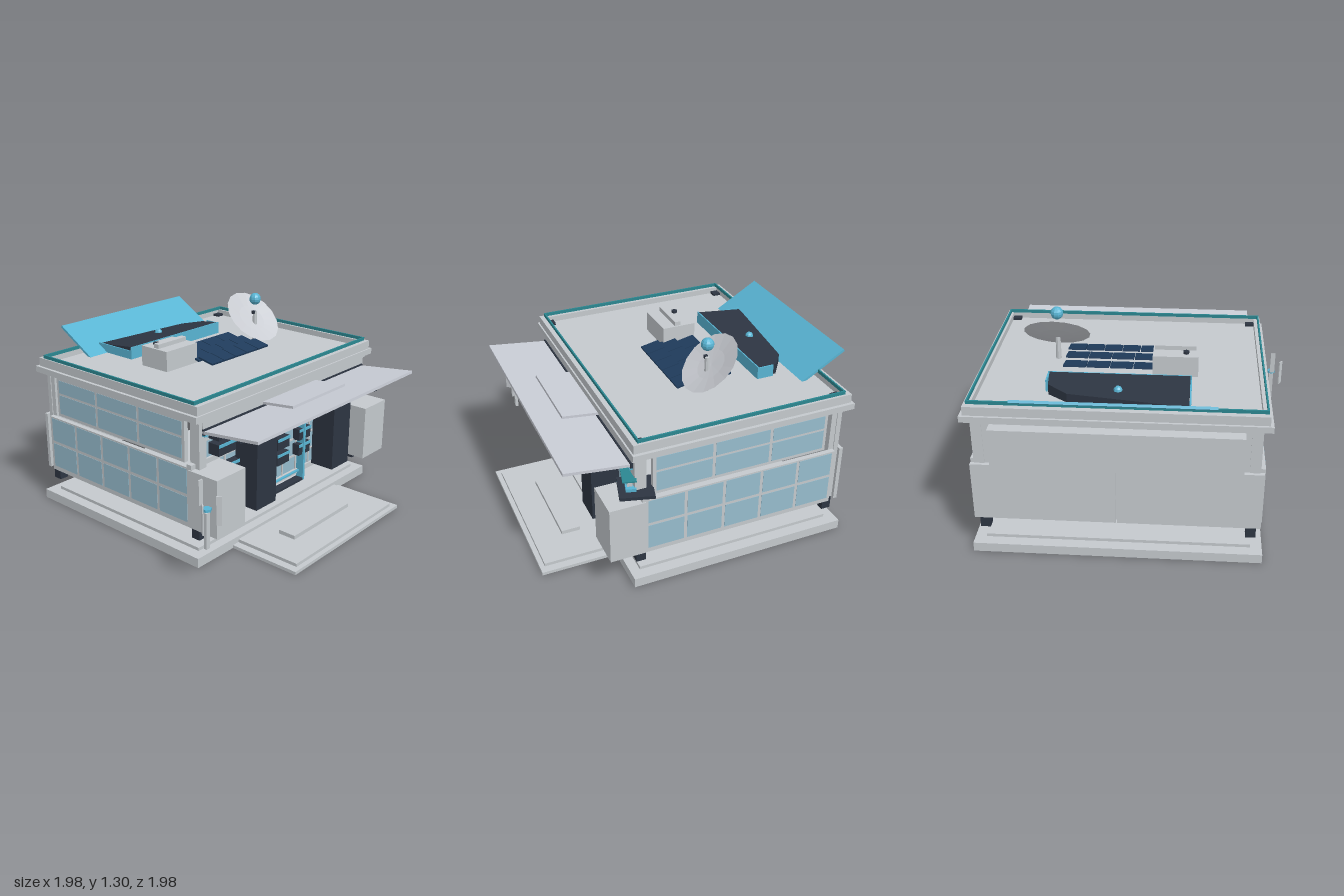
import * as THREE from 'three';

export function createModel() {
  const root = new THREE.Group();
  const mat = (name, color, side = THREE.FrontSide) => {
    const m = new THREE.MeshStandardMaterial({ color, side, flatShading: true });
    m.name = name;
    return m;
  };
  const grey = mat('light grey', 0xc4c9cd);
  const pale = mat('pale canopy grey', 0xc8ccd5);
  const dishGrey = mat('dish grey', 0xc9ccd2, THREE.DoubleSide);
  const glass = mat('glass blue', 0x96bccd);
  const blue = mat('accent blue', 0x58b4d3);
  const teal = mat('teal', 0x2b8791);
  const dark = mat('dark slate', 0x2d3542);
  const navy = mat('navy', 0x1f3b5b);

  const CX = 0.07; // centre line of the building
  const add = (name, geo, m, parent = root) => {
    const mesh = new THREE.Mesh(geo, m);
    mesh.name = name;
    parent.add(mesh);
    return mesh;
  };
  const box = (name, m, x0, x1, y0, y1, z0, z1, parent = root) => {
    const mesh = add(name, new THREE.BoxGeometry(x1 - x0, y1 - y0, z1 - z0), m, parent);
    mesh.position.set((x0 + x1) / 2, (y0 + y1) / 2, (z0 + z1) / 2);
    return mesh;
  };
  // Rectangular frame lying flat, t wide
  const ring = (name, m, x0, x1, y0, y1, z0, z1, t) => {
    const rect = (C, a, b, c, d) => {
      const s = new C();
      s.moveTo(a, c); s.lineTo(b, c); s.lineTo(b, d); s.lineTo(a, d); s.closePath();
      return s;
    };
    const s = rect(THREE.Shape, x0, x1, -z1, -z0);
    s.holes.push(rect(THREE.Path, x0 + t, x1 - t, -z1 + t, -z0 - t));
    const g = new THREE.ExtrudeGeometry(s, { depth: y1 - y0, bevelEnabled: false });
    g.rotateX(-Math.PI / 2).translate(0, y0, 0);
    return add(name, g, m);
  };

  // Plinth and entrance steps
  box('plinth', grey, -0.8, 0.94, 0, 0.06, -0.88, 0.52);
  box('plinthTop', grey, -0.73, 0.87, 0.06, 0.08, -0.81, 0.46);
  box('lowerStep', grey, -0.49, 0.63, 0, 0.02, 0.52, 0.99);
  box('middleStep', grey, -0.44, 0.58, 0.02, 0.04, 0.52, 0.96);
  box('upperStep', grey, -0.22, 0.36, 0.04, 0.065, 0.66, 0.78);

  // Corner feet, columns and roof caps
  for (const x of [CX - 0.795, CX + 0.795]) for (const z of [0.46, -0.8]) {
    box('foot', dark, x - 0.03, x + 0.03, 0.15, 0.24, z - 0.03, z + 0.03);
    box('column', grey, x - 0.03, x + 0.03, 0.24, 0.9, z - 0.035, z + 0.035);
    box('columnCap', dark, x - 0.03, x + 0.03, 0.95, 0.97, z - 0.03, z + 0.03);
  }

  // Glazed panel on a side wall: grey slab with window panes on both faces
  const sideWall = (s, name, y0, y1, z0, z1, out, cols, rows, edge) => {
    const xo = CX + s * out, xi = CX + s * (out - 0.03);
    box(name, grey, Math.min(xo, xi), Math.max(xo, xi), y0, y1, z0, z1);
    const w = (z1 - z0 - 2 * edge + 0.02) / cols;
    for (let i = 0; i < cols; i++) for (const [a, b] of rows) {
      const z = z0 + edge + i * w;
      for (const x of [xo, xi]) box('sidePane', glass, x - 0.002, x + 0.002, a, b, z, z + w - 0.02);
    }
  };
  for (const s of [-1, 1]) {
    sideWall(s, 'lowerSideWall', 0.235, 0.61, -0.79, 0.45, 0.86, 5, [[0.265, 0.425], [0.445, 0.6]], 0.02);
    sideWall(s, 'upperSideWall', 0.62, 0.88, -0.73, 0.39, 0.835, 3, [[0.64, 0.765], [0.78, 0.865]], 0.02);
  }

  // Back wall
  box('backWall', grey, -0.76, 0.9, 0.24, 0.88, -0.83, -0.8);
  for (const x of [[-0.78, 0.066], [0.074, 0.92]]) box('backPanel', grey, x[0], x[1], 0.235, 0.61, -0.855, -0.83);
  box('backUpperBox', grey, -0.66, 0.79, 0.62, 0.87, -0.9, -0.83);

  // Front facade with mullions
  box('frontGlass', glass, -0.56, 0.7, 0.265, 0.6, 0.43, 0.45);
  box('frontUpperGlass', glass, -0.68, 0.79, 0.63, 0.85, 0.43, 0.45);
  box('frontSill', grey, -0.79, 0.93, 0.235, 0.268, 0.43, 0.465);
  box('frontBand', grey, -0.79, 0.93, 0.6, 0.63, 0.43, 0.465);
  box('frontHeader', grey, -0.73, 0.87, 0.84, 0.89, 0.42, 0.5);
  box('headerShade', dark, -0.73, 0.87, 0.805, 0.84, 0.45, 0.51);
  box('headerTrim', blue, -0.73, 0.87, 0.797, 0.805, 0.45, 0.515);
  for (const y of [0.36, 0.48]) box('mullion', grey, -0.56, 0.7, y, y + 0.012, 0.45, 0.456);
  for (let i = 0; i < 9; i++) {
    const x = -0.49 + i * 0.14;
    box('mullion', grey, x - 0.006, x + 0.006, 0.265, 0.6, 0.45, 0.456);
  }
  for (let i = 0; i < 6; i++) {
    const x = -0.68 + i * 0.294;
    box('upperMullion', grey, x - 0.006, x + 0.006, 0.63, 0.8, 0.45, 0.456);
  }
  box('upperMullion', grey, -0.68, 0.79, 0.735, 0.745, 0.45, 0.456);

  // Display boxes with blue top lips
  const display = (x, w, y0, y1, z1) => {
    box('displayBox', dark, x - w / 2, x + w / 2, y0, y1, 0.45, z1);
    box('displayLip', blue, x - w / 2, x + w / 2, y1 - 0.018, y1, z1, z1 + 0.006);
  };
  for (let i = 0; i < 5; i++) {
    display(-0.555 + i * 0.28, 0.15, 0.65, 0.72, 0.53);
    display(-0.555 + i * 0.28, 0.15, 0.745, 0.8, 0.53);
  }
  for (let i = 0; i < 6; i++) {
    display(-0.425 + i * 0.222, 0.12, 0.485, 0.56, 0.5);
    display(-0.425 + i * 0.222, 0.12, 0.38, 0.455, 0.5);
  }

  // Door frame
  for (const x of [-0.1, 0.22]) box('doorPost', blue, x, x + 0.018, 0.2, 0.79, 0.455, 0.51);
  box('doorTop', blue, -0.1, 0.238, 0.78, 0.792, 0.455, 0.51);
  box('doorSill', dark, -0.082, 0.22, 0.2, 0.215, 0.455, 0.51);
  box('doorSillTrim', blue, -0.082, 0.22, 0.255, 0.265, 0.46, 0.48);

  // Dark front piers with pale caps, and the grey corner blocks
  for (const s of [-1, 1]) {
    const x = CX + s * 0.39;
    box('pier', dark, x - 0.0925, x + 0.0925, 0.26, 0.7, 0.47, 0.635);
    box('pierCap', grey, x - 0.0925, x + 0.0925, 0.715, 0.74, 0.5, 0.64);
    box('pierNeck', grey, x - 0.03, x + 0.03, 0.7, 0.715, 0.5, 0.58);
    const b = CX + s * 0.745;
    box('cornerBlock', grey, b - 0.122, b + 0.122, 0.24, 0.6, 0.445, 0.665);
  }

  // Canopy plates rising outwards
  const lower = box('canopy', pale, -0.73, 0.865, 0.833, 0.851, 0.47, 0.895);
  const upper = box('canopyPlate', pale, -0.2, 0.335, 0.853, 0.869, 0.45, 0.725);
  lower.rotation.x = upper.rotation.x = -0.115;
  for (const x of [-0.66, 0.8]) box('canopyLamp', dark, x - 0.01, x + 0.01, 0.795, 0.815, 0.7, 0.72);

  // Turned side platform on the left corner
  const platform = new THREE.Group();
  platform.name = 'sidePlatform';
  platform.position.set(0.87, 0.66, 0.48);
  platform.rotation.y = -0.27;
  root.add(platform);
  box('platformSlab', dark, -0.11, 0.09, -0.01, 0.01, -0.1, 0.1, platform);
  box('platformPost', grey, -0.015, 0.015, 0, 0.09, 0.02, 0.05, platform);
  box('platformTop', teal, -0.11, 0.06, 0.088, 0.096, 0.0, 0.08, platform);
  box('platformBlock', blue, -0.04, 0.04, 0.01, 0.03, 0.0, 0.06, platform);

  // Roof slab, cornice, parapet and teal rail
  box('roofSlab', grey, -0.77, 0.91, 0.88, 0.955, -0.84, 0.5);
  ring('cornice', grey, -0.81, 0.95, 0.9, 0.938, -0.875, 0.525, 0.07);
  ring('parapet', grey, -0.79, 0.93, 0.938, 0.993, -0.86, 0.515, 0.04);
  ring('roofRail', teal, -0.782, 0.915, 0.993, 1.014, -0.825, 0.485, 0.01);

  // Rooftop plant box
  box('plantBox', grey, -0.385, -0.11, 0.955, 1.085, -0.335, -0.115);
  box('plantRidge', grey, -0.37, -0.12, 1.085, 1.112, -0.24, -0.2);
  add('plantVent', new THREE.CylinderGeometry(0.02, 0.02, 0.02, 6), dark).position.set(-0.31, 1.09, -0.28);

  // Solar rows, gently tilted
  [[4, -0.265], [4, -0.14], [5, -0.025]].forEach(([n, z]) => {
    const row = new THREE.Group();
    row.name = 'solarRow';
    row.position.set(0.155, 0.985, z);
    row.rotation.x = 0.2;
    root.add(row);
    const w = 0.57 / n;
    for (let i = 0; i < n; i++)
      box('solarPanel', navy, -0.285 + i * w, -0.285 + (i + 1) * w - 0.006, -0.006, 0.006, -0.06, 0.06, row);
  });

  // Dark wedge skylight: a plan outline whose top falls towards the back
  const plan = [[-0.34, 0.48], [0.49, 0.48], [0.48, 0.61], [0.36, 0.7], [-0.34, 0.79]];
  const wedge = new THREE.ExtrudeGeometry(
    new THREE.Shape(plan.map(p => new THREE.Vector2(...p))), { depth: 0.08, bevelEnabled: false });
  wedge.rotateX(-Math.PI / 2).translate(0, 0.955, 0);
  const p = wedge.attributes.position;
  for (let i = 0; i < p.count; i++)
    if (p.getY(i) > 1) p.setY(i, 1.035 + (p.getZ(i) + 0.48) * 0.11);
  wedge.computeVertexNormals();
  add('wedge', wedge, dark);
  box('wedgeFrontTrim', blue, -0.35, 0.5, 0.955, 1.035, -0.48, -0.472);
  box('wedgeSideTrim', blue, -0.35, -0.341, 0.955, 1.01, -0.785, -0.48);
  box('wedgeShortTrim', blue, 0.491, 0.5, 0.955, 1.03, -0.58, -0.48);
  add('wedgeBall', new THREE.SphereGeometry(0.027, 8, 6), blue).position.set(0.07, 1.015, -0.645);

  // Big tilted back screen
  const screen = box('backScreen', blue, -0.495, 0.632, 1.022, 1.038, -1.012, -0.688);
  screen.rotation.x = 0.53;

  // Dish, mast and ball
  const bowl = new THREE.LatheGeometry(
    [[0.001, -0.022], [0.1, -0.016], [0.205, 0]].map(q => new THREE.Vector2(...q)), 16);
  const dish = add('dish', bowl, dishGrey);
  dish.position.set(0.49, 1.135, -0.145);
  dish.rotation.x = 0.75;
  add('mast', new THREE.CylinderGeometry(0.014, 0.018, 0.22, 8), grey).position.set(0.49, 1.065, -0.13);
  box('mastTip', dark, 0.463, 0.483, 1.16, 1.18, -0.14, -0.12);
  add('dishBall', new THREE.SphereGeometry(0.04, 10, 8), blue).position.set(0.49, 1.26, -0.13);

  // Free-floating beacon beside the building
  add('beaconHub', new THREE.CylinderGeometry(0.028, 0.028, 0.016, 6), blue).position.set(-0.92, 0.488, 0.7);
  box('beaconStem', grey, -0.935, -0.907, 0.25, 0.47, 0.69, 0.71);
  box('beaconBlade', grey, -0.937, -0.905, 0.5, 0.65, 0.65, 0.658);
  for (const s of [-1, 1]) {
    const blade = box('beaconBlade', grey, -0.936, -0.904, 0.375, 0.55, 0.726, 0.734);
    blade.position.x = -0.92 + s * 0.067;
    blade.rotation.y = -s * 0.9;
  }
  return root;
}
